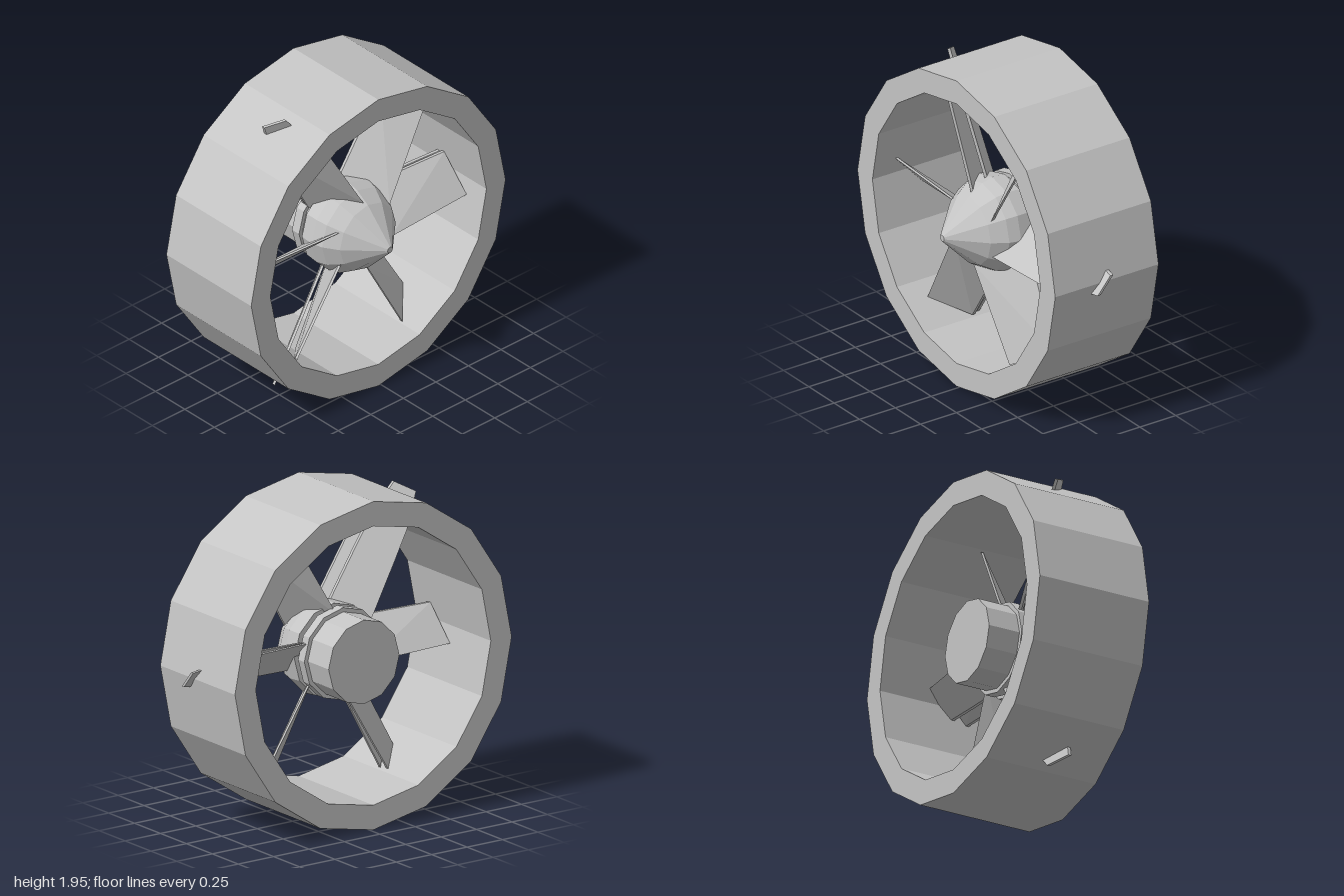
import * as THREE from 'three';

const AXIS_X = -0.02, AXIS_Y = 0.977;

// Regular polygon with a corner on each axis
function polygon(path, radius, sides) {
  for (let i = 0; i < sides; i++) {
    const a = (i / sides) * Math.PI * 2;
    const x = radius * Math.cos(a), y = radius * Math.sin(a);
    if (i === 0) path.moveTo(x, y);
    else path.lineTo(x, y);
  }
  path.closePath();
  return path;
}

// Pitched plate along +x; halfWidth(r) and halfDepth(r) set its slanted section
function plate(r0, r1, segments, thickness, z0, halfWidth, halfDepth) {
  const geo = new THREE.BoxGeometry(r1 - r0, 2, thickness, segments, 1, 1);
  const p = geo.attributes.position;
  for (let i = 0; i < p.count; i++) {
    const r = p.getX(i) + (r0 + r1) / 2;
    const side = p.getY(i);
    p.setXYZ(i, r, side * halfWidth(r), z0 + p.getZ(i) - side * halfDepth(r));
  }
  geo.computeVertexNormals();
  return geo;
}

export function createModel() {
  const model = new THREE.Group();
  model.name = 'ductedFan';
  const grey = new THREE.MeshStandardMaterial({ color: 0xc4c4c4, flatShading: true });
  grey.name = 'lightGrey';

  const fan = new THREE.Group();
  fan.name = 'fan';
  fan.position.set(AXIS_X, AXIS_Y, 0);
  model.add(fan);

  const add = (name, geo) => {
    const mesh = new THREE.Mesh(geo, grey);
    mesh.name = name;
    fan.add(mesh);
    return mesh;
  };

  // Outer duct
  const ring = polygon(new THREE.Shape(), 0.977, 16);
  ring.holes.push(polygon(new THREE.Path(), 0.83, 16));
  const duct = new THREE.ExtrudeGeometry(ring, { depth: 0.72, bevelEnabled: false });
  duct.translate(0, 0, -0.41);
  add('duct', duct);

  // Hub parts turned about the z axis, listed as [radius, z] from back to front
  const turned = (name, profile) => {
    const geo = new THREE.LatheGeometry(profile.map(([r, z]) => new THREE.Vector2(r, z)), 12);
    geo.rotateX(Math.PI / 2);
    add(name, geo);
  };
  turned('motorHousing', [[0, -0.32], [0.25, -0.32], [0.25, -0.12], [0.275, -0.12],
    [0.275, -0.06], [0.25, -0.06], [0.25, -0.03]]);
  turned('hub', [[0.25, -0.03], [0.28, -0.03], [0.288, 0.06], [0.27, 0.13], [0.214, 0.22]]);
  turned('noseCone', [[0.214, 0.22], [0.02, 0.41], [0, 0.41]]);

  // Six rotor blades, slightly twisted
  const bladeGeo = plate(0.2, 0.81, 1, 0.018, 0.06, () => 0.1, r => 0.13 - 0.035 * (r - 0.2) / 0.61);
  for (let i = 0; i < 6; i++) add('blade', bladeGeo).rotation.z = (i * Math.PI) / 3;

  // Three struts that taper and pass through the duct
  const taper = r => (r < 0.8 ? 0.1 - 0.015 * (r - 0.2) / 0.6 : 0.085 - 0.033 * (r - 0.8) / 0.22);
  const strutGeo = plate(0.2, 1.02, 4, 0.02, -0.01, taper, r => taper(r) * 0.85);
  for (let i = 0; i < 3; i++) add('strut', strutGeo).rotation.z = (i * Math.PI * 2) / 3;

  return model;
}
